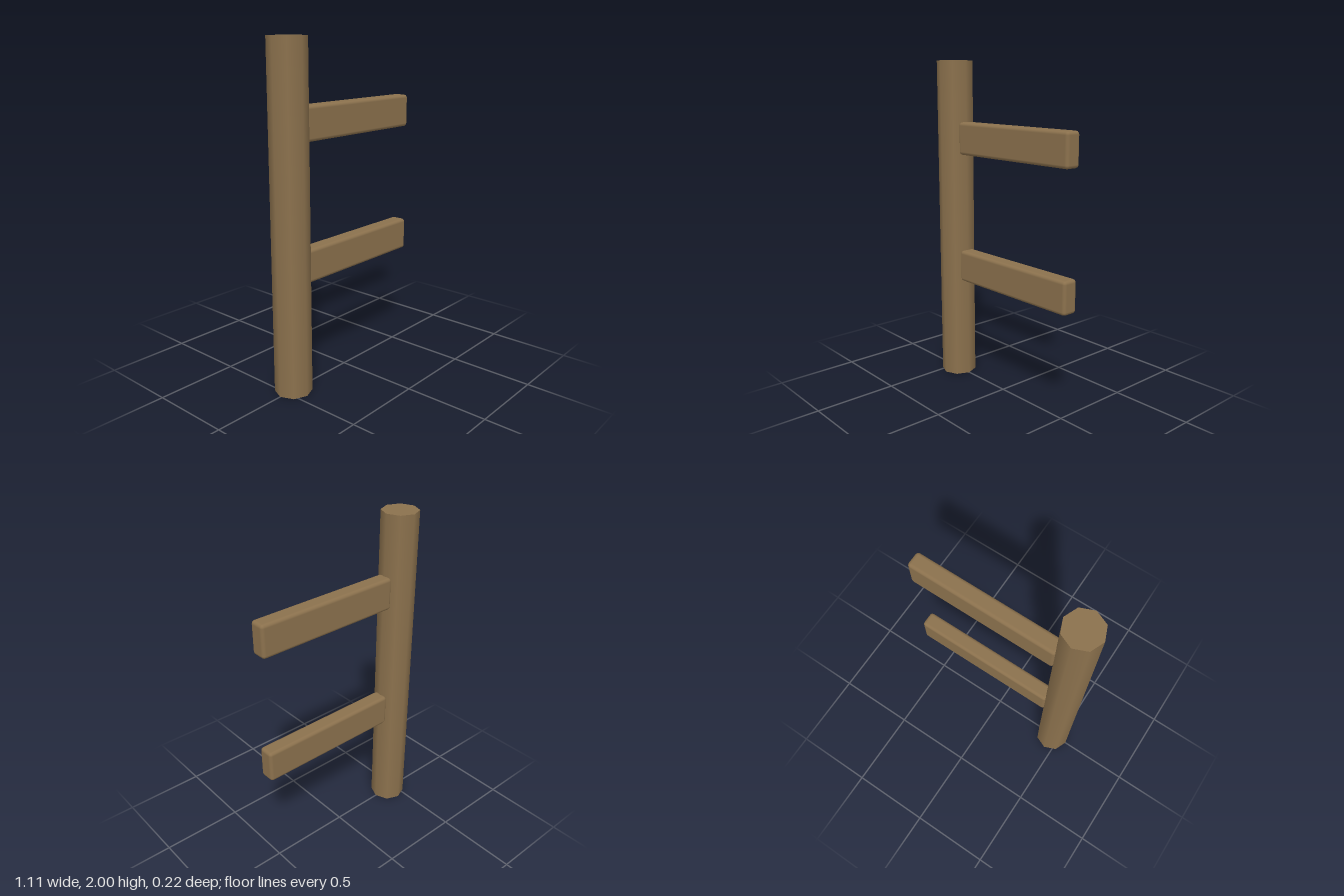
import * as THREE from 'three';
import { RoundedBoxGeometry } from 'three/addons/geometries/RoundedBoxGeometry.js';

export function createModel() {
  const group = new THREE.Group();
  const wood = new THREE.MeshStandardMaterial({ color: 0x8b714d });
  wood.name = 'brown wood';

  // Eight-sided upright with smooth sides
  const post = new THREE.Mesh(new THREE.CylinderGeometry(0.109, 0.109, 2, 8), wood);
  post.name = 'post';
  post.position.set(-0.446, 1, 0);
  group.add(post);

  // Two softened rails reaching out from the post
  const railGeometry = new RoundedBoxGeometry(0.911, 0.197, 0.098, 2, 0.02);
  [['lowerRail', 0.736], ['upperRail', 1.537]].forEach(([name, y]) => {
    const rail = new THREE.Mesh(railGeometry, wood);
    rail.name = name;
    rail.position.set(0.0995, y, 0);
    group.add(rail);
  });

  return group;
}
